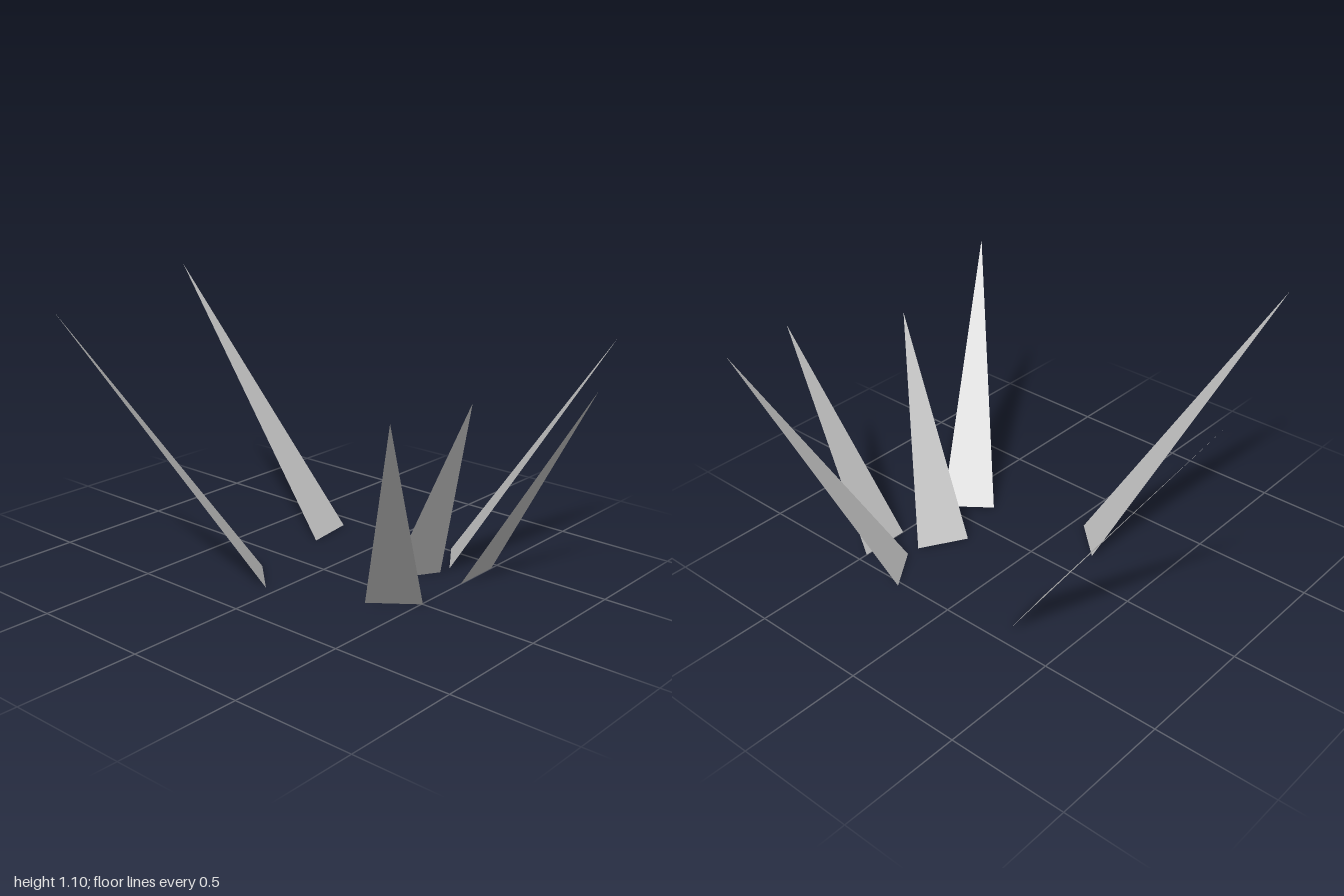
import * as THREE from 'three';

export function createModel() {
  const group = new THREE.Group();
  group.name = 'grassTuft';

  const grey = new THREE.MeshStandardMaterial({ color: 0xc0c0c0, side: THREE.DoubleSide });
  grey.name = 'paleGrey';

  // A flat blade: two base corners [x, z] on the ground and a leaning tip [x, y, z]
  function addBlade(name, [ax, az], [bx, bz], tip) {
    const geometry = new THREE.BufferGeometry();
    const corners = [ax, 0, az, bx, 0, bz, ...tip];
    geometry.setAttribute('position', new THREE.Float32BufferAttribute(corners, 3));
    geometry.computeVertexNormals();
    const blade = new THREE.Mesh(geometry, grey);
    blade.name = name;
    group.add(blade);
  }

  // Blades leaning to the right; corners run so that the front side faces up
  addBlade('rightBackBlade', [-0.23, -0.21], [-0.26, -0.425], [-1.0, 1.1, -0.2]);
  addBlade('rightFrontBlade', [-0.05, 0.285], [-0.21, 0.14], [-0.63, 1.1, 0.785]);

  // Blades leaning to the left, from back to front
  addBlade('leftBackBlade', [0.255, -0.52], [0.375, -0.345], [0.82, 0.95, -0.79]);
  addBlade('leftOuterBlade', [0.5, -0.46], [0.5, -0.25], [0.995, 0.86, -0.36]);
  addBlade('leftInnerBlade', [0.37, -0.29], [0.26, -0.105], [0.73, 0.85, 0.04]);
  addBlade('leftFrontBlade', [0.505, 0.0], [0.33, 0.135], [0.85, 0.94, 0.65]);

  // Face the lit side of every blade upwards
  for (const blade of group.children) {
    if (blade.geometry.attributes.normal.getY(0) < 0) {
      blade.geometry.setIndex([0, 2, 1]);
      blade.geometry.computeVertexNormals();
    }
  }
  return group;
}
